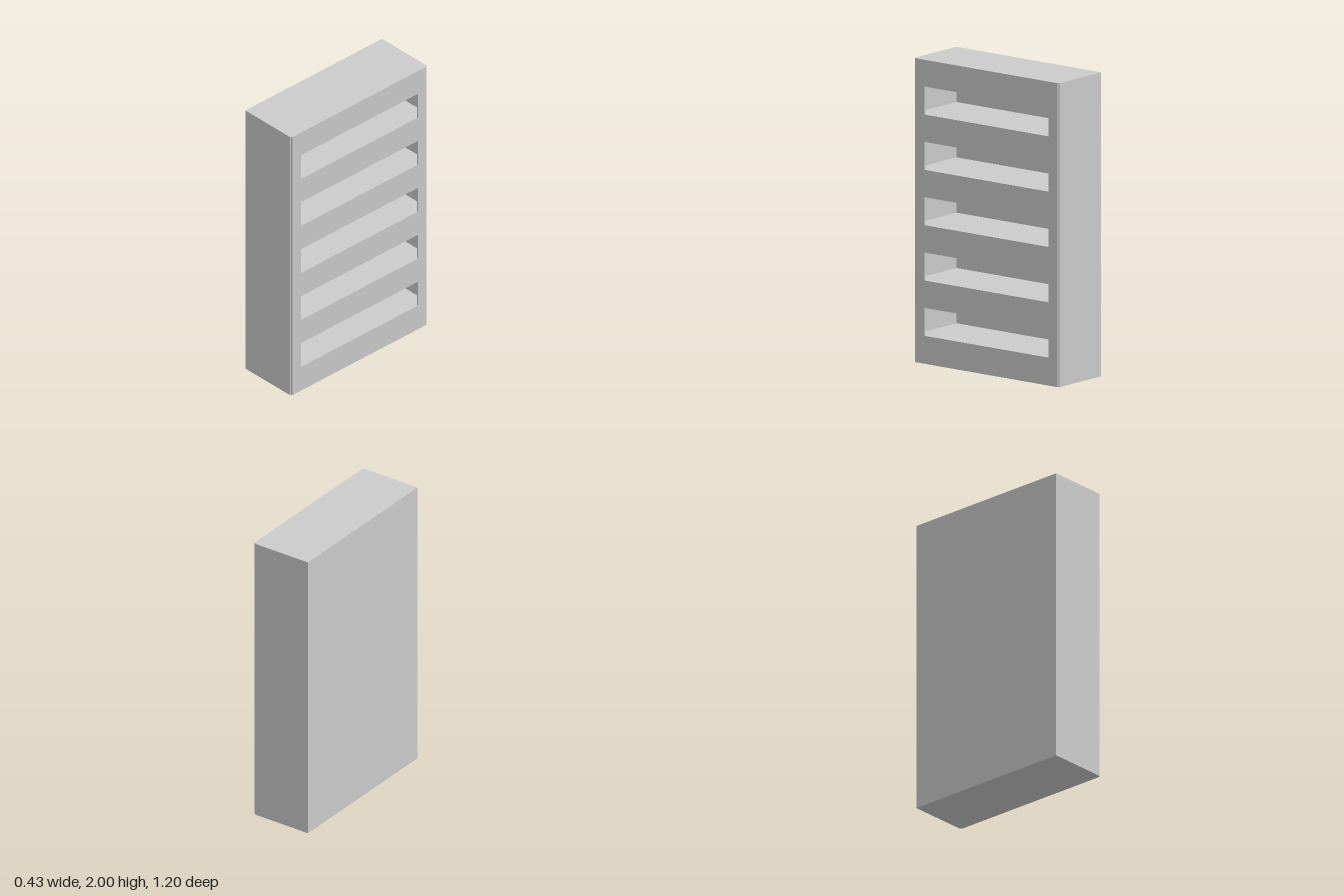
import * as THREE from 'three';

const W = 0.43, H = 2, D = 1.204;      // overall x, y, z
const T = 0.01;                        // panel thickness
const SLOTS = 5, SLOT_H = 0.184, SLOT_HALF = 0.515, PITCH = 0.364, FIRST = 0.184;

export function createModel() {
  const group = new THREE.Group();
  const material = new THREE.MeshStandardMaterial({ color: 0xcccccc });

  const add = (name, geometry, x, y, z) => {
    const mesh = new THREE.Mesh(geometry, material);
    mesh.name = name;
    mesh.position.set(x, y, z);
    group.add(mesh);
  };
  const box = (name, x0, x1, y0, y1, z0, z1) =>
    add(name, new THREE.BoxGeometry(x1 - x0, y1 - y0, z1 - z0),
      (x0 + x1) / 2, (y0 + y1) / 2, (z0 + z1) / 2);

  const left = -W / 2, right = W / 2 - T, inner = D / 2 - T;

  // Closed back and the two end walls
  box('backPanel', left, left + T, 0, H, -inner, inner);
  box('frontEndWall', left, right, 0, H, inner, D / 2);
  box('rearEndWall', left, right, 0, H, -D / 2, -inner);

  // Solid layers between the compartments
  for (let i = 0; i <= SLOTS; i++) {
    const y0 = i === 0 ? 0 : FIRST + (i - 1) * PITCH + SLOT_H;
    const y1 = i === SLOTS ? H : FIRST + i * PITCH;
    box('layer' + (i + 1), left + T, right, y0, y1, -inner, inner);
  }

  // Thin slotted face, slightly narrower than the body
  const rect = (path, a, y0, y1) => {
    path.moveTo(-a, y0);
    path.lineTo(a, y0);
    path.lineTo(a, y1);
    path.lineTo(-a, y1);
    path.closePath();
    return path;
  };
  const face = rect(new THREE.Shape(), inner, 0, H);
  for (let i = 0; i < SLOTS; i++) {
    const y = FIRST + i * PITCH;
    face.holes.push(rect(new THREE.Path(), SLOT_HALF, y, y + SLOT_H));
  }
  const faceGeometry = new THREE.ExtrudeGeometry(face, { depth: T, bevelEnabled: false });
  faceGeometry.rotateY(Math.PI / 2);
  add('slottedFace', faceGeometry, right, 0, 0);

  return group;
}
